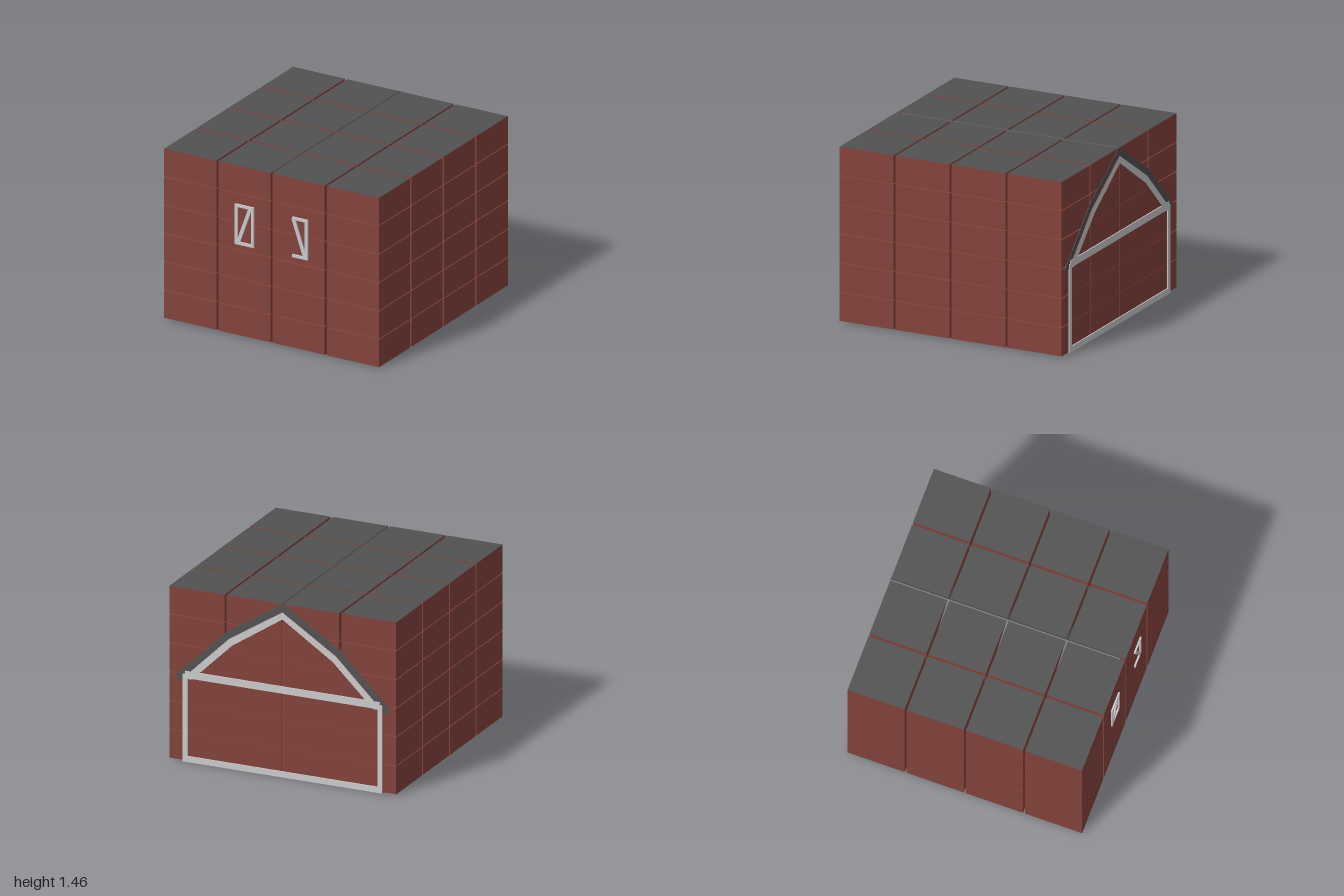
import * as THREE from 'three';

const red = new THREE.MeshStandardMaterial({ color: 0x84433c });
const slate = new THREE.MeshStandardMaterial({ color: 0x525252 });
const trim = new THREE.MeshStandardMaterial({ color: 0xcccccc });

export function createModel() {
  const root = new THREE.Group();

  const add = (name, geometry, material, parent = root) => {
    const mesh = new THREE.Mesh(geometry, material);
    mesh.name = name;
    parent.add(mesh);
    return mesh;
  };
  const group = (name) => {
    const g = new THREE.Group();
    g.name = name;
    root.add(g);
    return g;
  };
  // Box given by its lower and upper limits
  const box = (name, x0, x1, y0, y1, z0, z1, material, parent) =>
    add(name, new THREE.BoxGeometry(x1 - x0, y1 - y0, z1 - z0), material, parent)
      .position.set((x0 + x1) / 2, (y0 + y1) / 2, (z0 + z1) / 2);
  // Flat bar between two points in the xy plane
  const bar = (name, x0, y0, x1, y1, w, z0, z1, parent) => {
    const m = add(name, new THREE.BoxGeometry(Math.hypot(x1 - x0, y1 - y0), w, z1 - z0), trim, parent);
    m.position.set((x0 + x1) / 2, (y0 + y1) / 2, (z0 + z1) / 2);
    m.rotation.z = Math.atan2(y1 - y0, x1 - x0);
  };
  const shapeOf = (pts) => new THREE.Shape(pts.map(([x, y]) => new THREE.Vector2(x, y)));
  // Extrude a shape in the xy plane between two z values
  const slab = (name, shape, z0, z1, material, parent) => {
    const g = new THREE.ExtrudeGeometry(shape, { depth: z1 - z0, bevelEnabled: false });
    return add(name, g.translate(0, 0, z0), material, parent);
  };
  // Symmetric band from the right half of its outer and inner outlines (eave to ridge)
  const flip = (pts) => pts.slice(0, -1).reverse().map(([x, y]) => [-x, y]);
  const band = (outer, inner) =>
    shapeOf([...outer, ...flip(outer), ...flip(inner).reverse(), ...[...inner].reverse()]);

  // Grid of blocks, the top layer capped in slate
  const blocks = group('blocks');
  const block = new THREE.BoxGeometry(0.48, 0.235, 0.48);
  const capped = [red, red, slate, red, red, red];
  for (let row = 0; row < 6; row++)
    for (let i = 0; i < 4; i++)
      for (let k = 0; k < 4; k++)
        add('block', block, row === 5 ? capped : red, blocks)
          .position.set(-0.75 + 0.5 * i, 0.1275 + 0.2425 * row, -0.751 + 0.498 * k);

  // Barn shell
  const barn = group('barn');
  box('floor', -0.87, 0.87, 0, 0.01, -0.99, 0.945, red, barn);
  const eave = [[0.94, 0.71], [0.5, 1.14], [0, 1.46]];
  const soffit = [[0.9, 0.67], [0.47, 1.09], [0, 1.39]];
  slab('roof', band(eave, soffit), -0.994, 0.945, slate, barn);
  const gable = shapeOf([[-0.86, 0.01], [0.86, 0.01], [0.86, 0.7], [0.47, 1.09], [0, 1.39], [-0.47, 1.09], [-0.86, 0.7]]);
  slab('frontWall', gable, 0.88, 0.9, red, barn);
  slab('backWall', gable, -0.988, -0.97, red, barn);

  // Side walls with four framed windows each
  const windows = [-0.62, -0.21, 0.2, 0.61];
  const rect = (C, x, y, w, h) => {
    const s = new C();
    s.moveTo(x - w, y - h).lineTo(x + w, y - h).lineTo(x + w, y + h).lineTo(x - w, y + h).closePath();
    return s;
  };
  for (const s of [-1, 1]) {
    const wall = rect(THREE.Shape, 0.05, 0.36, 0.94, 0.35);
    windows.forEach((z) => wall.holes.push(rect(THREE.Path, -z, 0.51, 0.09, 0.09)));
    slab('sideWall', wall, -0.01, 0.01, red, barn).rotation.y = Math.PI / 2;
    barn.children.at(-1).position.x = 0.85 * s;
    for (const z of windows) {
      const frame = rect(THREE.Shape, -z, 0.51, 0.12, 0.11);
      frame.holes.push(rect(THREE.Path, -z, 0.51, 0.09, 0.09));
      const m = slab('windowFrame', frame, -0.005, 0.005, trim, barn);
      m.rotation.y = Math.PI / 2;
      m.position.x = 0.866 * s;
    }
    const x = 0.865 * s;
    box('baseboard', x - 0.005, x + 0.005, 0.01, 0.06, -0.98, 0.9, trim, barn);
  }

  // Gable trims on both ends: posts, sill, tie beam and rakes
  const rake = band([[0.87, 0.7], [0.47, 1.09], [0, 1.39]], [[0.79, 0.7], [0.44, 1.04], [0, 1.33]]);
  for (const [name, z0, z1] of [['backTrim', -1, -0.99], ['frontTrim', 0.9, 0.91]]) {
    const g = group(name);
    for (const s of [-1, 1]) bar('post', 0.85 * s, 0, 0.85 * s, 0.74, 0.04, z0, z1, g);
    bar('sill', -0.87, 0.025, 0.87, 0.025, 0.05, z0, z1, g);
    bar('tieBeam', -0.85, 0.735, 0.85, 0.735, 0.06, z0, z1, g);
    slab('rake', rake, z0, z1, [trim, red], g);
  }

  // Main doors
  const doors = group('doors');
  for (const s of [-1, 1]) {
    for (const x of [0.015, 0.52]) bar('doorStile', x * s, 0.04, x * s, 0.64, 0.03, 0.91, 0.92, doors);
    for (const y of [0.05, 0.64]) bar('doorRail', 0, y, 0.535 * s, y, 0.04, 0.91, 0.92, doors);
    bar('doorBrace', 0.02 * s, 0.06, 0.52 * s, 0.63, 0.04, 0.912, 0.918, doors);
  }

  // Braced loft shutters standing proud of the front
  const loft = group('loftShutters');
  const z0 = 0.98, z1 = 0.997;
  bar('leftEdge', -0.32, 0.79, -0.32, 1.13, 0.025, z0, z1, loft);
  bar('rightEdge', -0.17, 0.79, -0.17, 1.13, 0.025, z0, z1, loft);
  bar('outerEdge', 0.327, 0.79, 0.327, 1.13, 0.025, z0, z1, loft);
  for (const y of [0.8, 1.12]) {
    bar('rail', -0.332, y, -0.158, y, 0.024, z0, z1, loft);
    bar('rail', 0.195, y, 0.339, y, 0.024, z0, z1, loft);
  }
  bar('brace', -0.305, 0.8, -0.19, 1.12, 0.03, z0, z1 - 0.001, loft);
  bar('brace', 0.315, 0.8, 0.205, 1.12, 0.03, z0, z1 - 0.001, loft);

  return root;
}
